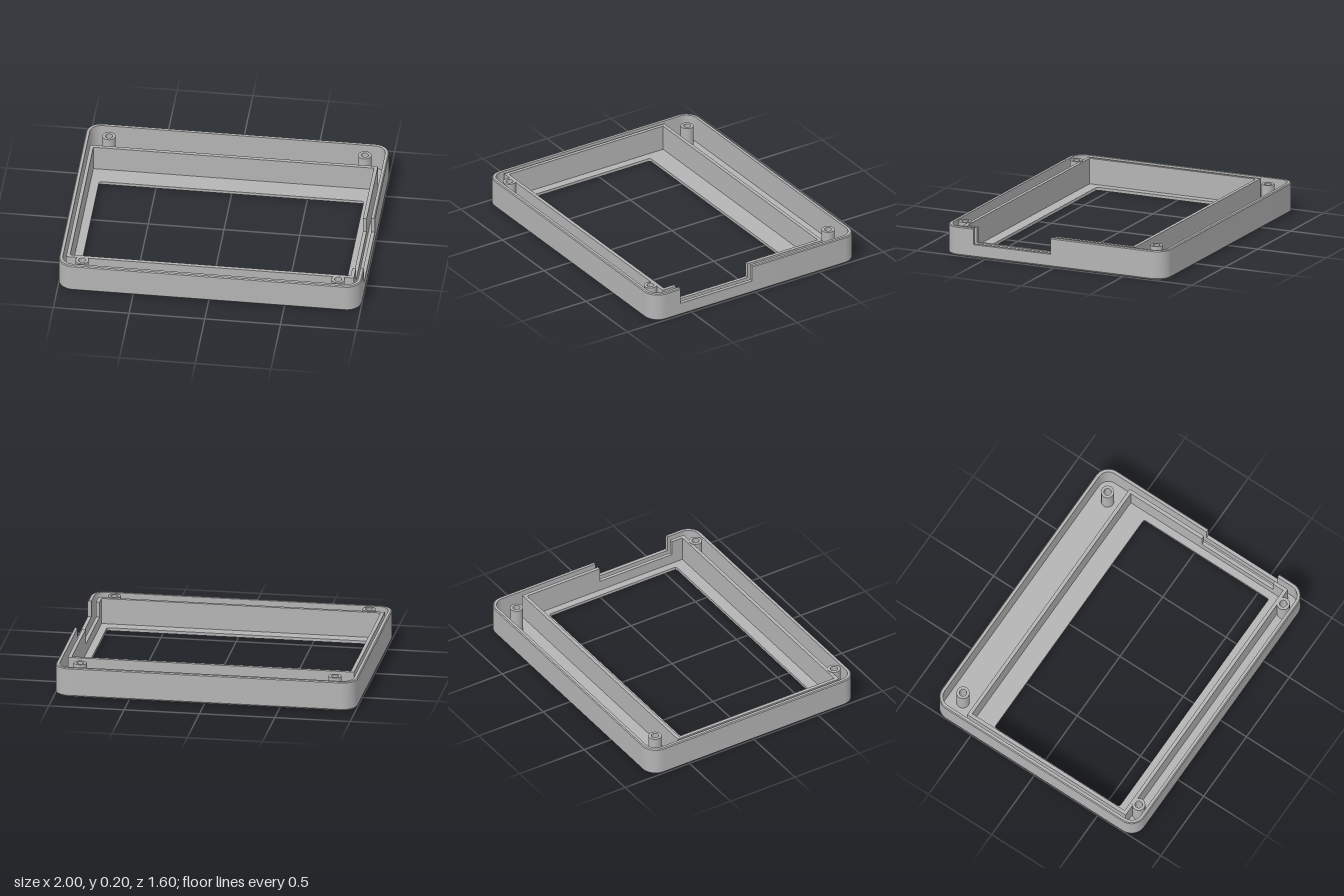
import * as THREE from 'three';
import { toCreasedNormals } from 'three/addons/utils/BufferGeometryUtils.js';

const W = 1, D = 0.8, R = 0.1;            // half width, half depth, corner radius
const H = 0.2, FLOOR = 0.02, WALL = 0.025;
const NOTCH = { z0: 0.025, z1: 0.585, y: 0.09 };

function roundedRect(path, x0, z0, x1, z1, r) {
  path.moveTo(x1, z0 + r);
  path.absarc(x1 - r, z1 - r, r, 0, Math.PI / 2);
  path.absarc(x0 + r, z1 - r, r, Math.PI / 2, Math.PI);
  path.absarc(x0 + r, z0 + r, r, Math.PI, Math.PI * 1.5);
  path.absarc(x1 - r, z0 + r, r, Math.PI * 1.5, Math.PI * 2);
  path.closePath();
  return path;
}

// Extrude a plan-view shape (x, z) upwards from y
function slab(shape, y, height) {
  const g = new THREE.ExtrudeGeometry(shape, { depth: height, bevelEnabled: false, curveSegments: 12 });
  g.rotateX(Math.PI / 2);
  g.translate(0, y + height, 0);
  return toCreasedNormals(g, 0.6);
}

// Sweep a wall profile of [inset, y] points along stations of [x, z, angle]
function sweepWall(profile, stations) {
  const pos = [];
  const pt = ([x, z, a], [d, y]) => [x + Math.cos(a) * (R - d), y, z + Math.sin(a) * (R - d)];
  const n = profile.length;
  for (let i = 0; i < stations.length - 1; i++) {
    for (let j = 0; j < n; j++) {
      const p = profile[j], q = profile[(j + 1) % n];
      const a = pt(stations[i], p), b = pt(stations[i], q);
      const c = pt(stations[i + 1], q), d = pt(stations[i + 1], p);
      pos.push(...a, ...b, ...c, ...a, ...c, ...d);
    }
  }
  const first = stations[0], last = stations[stations.length - 1];
  for (let j = 1; j < n - 1; j++) {
    pos.push(...pt(first, profile[0]), ...pt(first, profile[j + 1]), ...pt(first, profile[j]));
    pos.push(...pt(last, profile[0]), ...pt(last, profile[j]), ...pt(last, profile[j + 1]));
  }
  const g = new THREE.BufferGeometry();
  g.setAttribute('position', new THREE.Float32BufferAttribute(pos, 3));
  return toCreasedNormals(g, 0.5);
}

export function createModel() {
  const group = new THREE.Group();
  group.name = 'displayBezel';
  const grey = new THREE.MeshStandardMaterial({ color: 0xb4b4b4 });
  grey.name = 'grey plastic';
  const add = (name, geometry) => {
    const mesh = new THREE.Mesh(geometry, grey);
    mesh.name = name;
    group.add(mesh);
    return mesh;
  };

  // Face plate with the screen window
  const plate = roundedRect(new THREE.Shape(), -W + 0.012, -D + 0.012, W - 0.012, D - 0.012, R - 0.012);
  plate.holes.push(roundedRect(new THREE.Path(), -0.875, -0.4, 0.872, 0.587, 0.015));
  add('facePlate', slab(plate, 0, FLOOR));

  // Outer wall, running round from one end of the side notch to the other
  const cx = W - R, cz = D - R;
  const stations = [[cx, NOTCH.z1, 0]];
  [[cx, cz], [-cx, cz], [-cx, -cz], [cx, -cz]].forEach(([x, z], k) => {
    for (let s = 0; s <= 12; s++) stations.push([x, z, (k + s / 12) * Math.PI / 2]);
  });
  stations.push([cx, NOTCH.z0, Math.PI * 2]);
  const profile = (top, bevel) => [
    [0.012, 0], [0, 0.012], [0, top - bevel], [bevel, top], [WALL, top], [WALL, FLOOR - 0.005],
  ];
  add('outerWall', sweepWall(profile(H, 0.006), stations));

  // Low stretch of outer wall under the notch
  add('notchSill', sweepWall(profile(NOTCH.y, 0.0005), [[cx, NOTCH.z0, 0], [cx, NOTCH.z1, 0]]));

  // Inner rim around the screen, cut by the same notch
  const rim = { x0: -0.955, x1: 0.945, z0: -0.562, z1: 0.69, t: 0.024, top: 0.193 };
  const rimBox = (name, x0, x1, z0, z1, top) => {
    const g = new THREE.BoxGeometry(x1 - x0, top - FLOOR, z1 - z0);
    g.translate((x0 + x1) / 2, (top + FLOOR) / 2, (z0 + z1) / 2);
    add(name, g);
  };
  const zi0 = rim.z0 + rim.t, zi1 = rim.z1 - rim.t, xi = rim.x1 - rim.t;
  rimBox('innerRimBack', rim.x0, rim.x1, rim.z0, zi0, rim.top);
  rimBox('innerRimFront', rim.x0, rim.x1, zi1, rim.z1, rim.top);
  rimBox('innerRimRight', rim.x0, rim.x0 + rim.t, zi0, zi1, rim.top);
  rimBox('innerRimLeftBack', xi, rim.x1, zi0, NOTCH.z0, rim.top);
  rimBox('innerRimLeftNotch', xi, rim.x1, NOTCH.z0, NOTCH.z1, NOTCH.y);
  rimBox('innerRimLeftFront', xi, rim.x1, NOTCH.z1, zi1, rim.top);

  // Hollow screw posts in the four corners
  const ring = new THREE.Shape().absarc(0, 0, 0.043, 0, Math.PI * 2);
  ring.holes.push(new THREE.Path().absarc(0, 0, 0.024, 0, Math.PI * 2));
  const post = slab(ring, FLOOR, 0.197 - FLOOR);
  for (const x of [-0.845, 0.845]) {
    for (const z of [-0.67, 0.72]) add('screwPost', post).position.set(x, 0, z);
  }

  return group;
}
